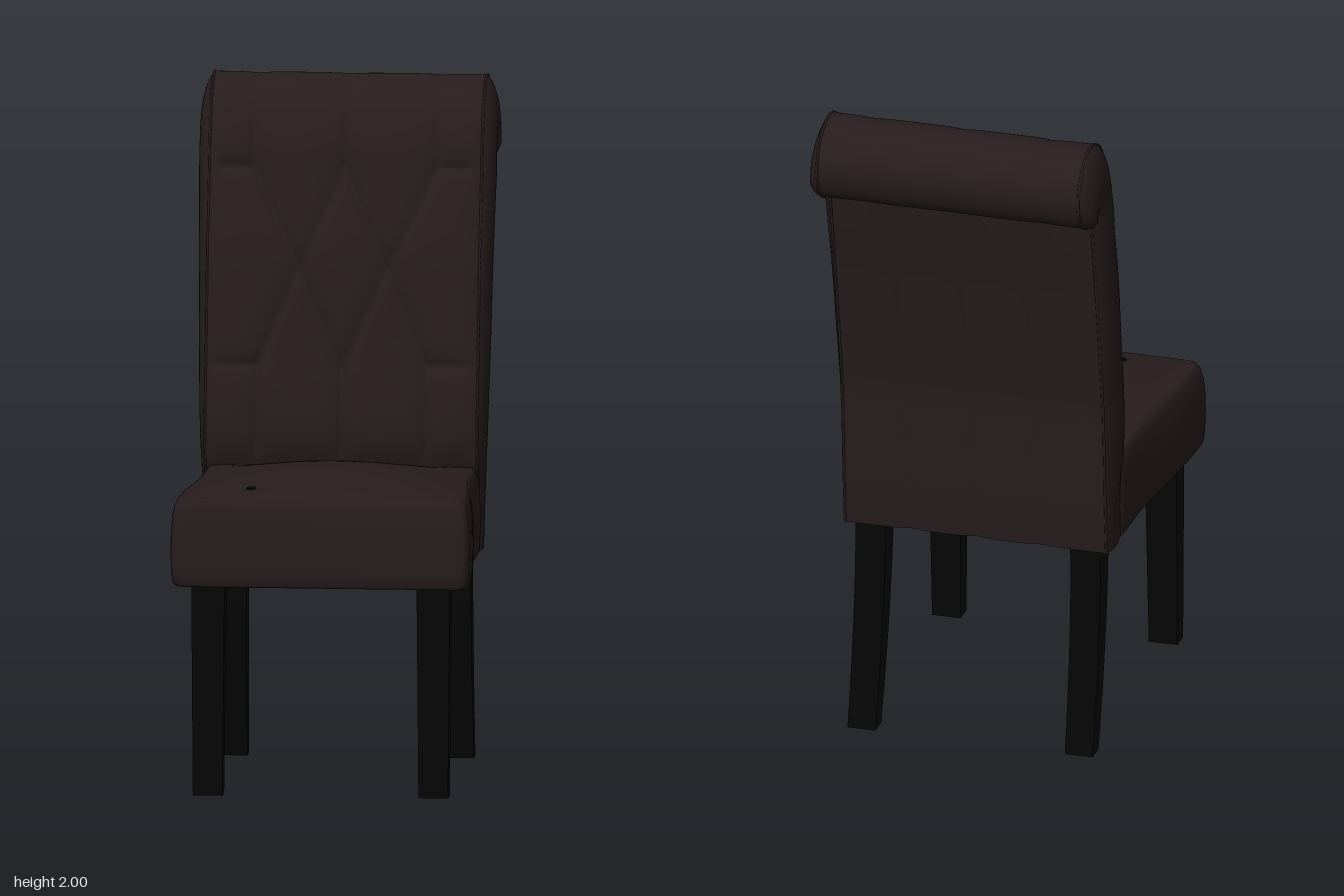
import * as THREE from 'three';

const leather = new THREE.MeshStandardMaterial({ color: 0x271c1d });
leather.name = 'dark brown leather';
const wood = new THREE.MeshStandardMaterial({ color: 0x050505 });
wood.name = 'black wood';
const lining = new THREE.MeshStandardMaterial({ color: 0x483c28 });
lining.name = 'olive lining';

const { lerp, clamp, smoothstep } = THREE.MathUtils;

// Smooth sheet from a rule f(u, v) -> [x, y, z]; it faces du x dv
function sheet(nu, nv, f) {
  const pos = [], idx = [];
  for (let j = 0; j <= nv; j++)
    for (let i = 0; i <= nu; i++) pos.push(...f(i / nu, j / nv));
  for (let j = 0; j < nv; j++)
    for (let i = 0; i < nu; i++) {
      const a = j * (nu + 1) + i, b = a + nu + 1;
      idx.push(a, a + 1, b, a + 1, b + 1, b);
    }
  const g = new THREE.BufferGeometry();
  g.setAttribute('position', new THREE.Float32BufferAttribute(pos, 3));
  g.setIndex(idx);
  g.computeVertexNormals();
  return g;
}

// Side profile of the backrest as [z, y]: front over the scroll, and rear
const curve = pts => new THREE.CatmullRomCurve3(pts.map(([z, y]) => new THREE.Vector3(0, y, z)));
const frontCurve = curve([
  [-0.18, 0.63], [-0.17, 0.84], [-0.14, 0.89], [-0.12, 0.96], [-0.13, 1.1], [-0.16, 1.25],
  [-0.2, 1.5], [-0.25, 1.68], [-0.29, 1.83], [-0.36, 1.95], [-0.46, 2.0], [-0.55, 1.965],
  [-0.592, 1.88], [-0.565, 1.79], [-0.51, 1.757], [-0.455, 1.745]]);
const rearCurve = curve([
  [-0.305, 0.63], [-0.32, 0.8], [-0.325, 0.9], [-0.33, 0.97], [-0.34, 1.1], [-0.365, 1.25],
  [-0.405, 1.47], [-0.435, 1.62], [-0.46, 1.75]]);
const SCROLL = 8 / 15; // where the rear face meets the scroll
const HALF = 0.4;

// Tufting: buttons and the seams between them
const buttons = [[-0.27, 1.75], [0, 1.75], [0.27, 1.75], [-0.13, 1.46], [0.13, 1.46],
  [-0.25, 1.18], [0, 1.17], [0.25, 1.18]];
const seams = [[0, 3], [1, 3], [1, 4], [2, 4], [3, 5], [3, 6], [4, 6], [4, 7]]
  .map(([a, b]) => [...buttons[a], ...buttons[b]]);
for (const i of [0, 1, 2]) seams.push([...buttons[i], buttons[i][0], 2.1]);
for (const i of [5, 6, 7]) seams.push([...buttons[i], buttons[i][0], 0.6]);
for (const i of [0, 2, 5, 7]) seams.push([...buttons[i], Math.sign(buttons[i][0]) * HALF, buttons[i][1]]);

function segmentDistance(x, y, [ax, ay, bx, by]) {
  const dx = bx - ax, dy = by - ay;
  const k = clamp(((x - ax) * dx + (y - ay) * dy) / (dx * dx + dy * dy), 0, 1);
  return Math.hypot(x - ax - k * dx, y - ay - k * dy);
}

// How far the front cover is pulled in at (x, y)
function inset(x, y, t) {
  const flat = smoothstep(t, 0.5, 0.62);
  let tuft = 0, roll = 0;
  if (flat < 1) {
    const d = Math.min(...seams.map(s => segmentDistance(x, y, s)));
    const b = Math.min(...buttons.map(([bx, by]) => Math.hypot(x - bx, y - by)));
    tuft = 0.015 * Math.exp(-d / 0.035) + 0.006 * Math.exp(-((d / 0.01) ** 2)) + 0.012 * Math.exp(-b / 0.03);
  }
  if (flat > 0) roll = 0.004 * Math.exp(-Math.min(Math.abs(x), Math.abs(Math.abs(x) - 0.27)) / 0.03);
  roll *= 1 - smoothstep(t, 0.85, 1);
  const edge = 0.02 * Math.exp(-(HALF - Math.abs(x)) / 0.03);
  const fadeIn = smoothstep(HALF - Math.abs(x), 0, 0.05);
  return (1 - flat) * (tuft * fadeIn + edge) * smoothstep(t, 0.1, 0.2) + flat * roll * fadeIn;
}

function frontPoint(x, t) {
  const p = frontCurve.getPoint(t), n = frontCurve.getTangent(t), k = inset(x, p.y, t);
  return [x, p.y + n.z * k, p.z - n.y * k];
}

function rearPoint(x, t) {
  const s = Math.min(1, t / SCROLL), p = rearCurve.getPoint(s);
  const d = Math.min(Math.abs(x), Math.abs(Math.abs(x) - 0.2));
  const groove = 0.01 * Math.exp(-d / 0.03) * smoothstep(HALF - Math.abs(x), 0, 0.05);
  return [x, p.y, p.z + groove * (1 - smoothstep(s, 0.8, 1))];
}

// Bulging side panel, running from the front edge to the rear edge
function sidePoint(side, u, t) {
  const a = frontPoint(HALF, t), b = rearPoint(HALF, t);
  const len = Math.hypot(a[1] - b[1], a[2] - b[2]);
  const puff = lerp(0.012, 0.037, clamp(t / 0.5, 0, 1)) * Math.min(1, len / 0.15);
  return [side * (HALF + puff * Math.sin(Math.PI * u) ** 0.7), lerp(a[1], b[1], u), lerp(a[2], b[2], u)];
}

// Seat outline: a rectangle with rounded corners, narrower towards the back.
// Rings scaled below 1 rise into the domed top.
function seatPoint(u, shrink, y, scale = 1) {
  const hx = 0.44 - shrink, hz = 0.39 - shrink, r = 0.035;
  const k = Math.min(3, Math.floor(u * 4)), e = Math.sin((u * 4 - k - 0.5) * Math.PI);
  let [x, z] = [[-e * hx, -hz], [-hx, e * hz], [e * hx, hz], [hx, -e * hz]][k];
  const qx = clamp(x, r - hx, hx - r), qz = clamp(z, r - hz, hz - r);
  const d = Math.hypot(x - qx, z - qz);
  x = (qx + (x - qx) / d * r) * scale;
  z = (qz + (z - qz) / d * r) * scale;
  const dome = scale < 1 ? 0.055 * (1 - (x / hx) ** 2) * (1 - (z / hz) ** 2) : 0;
  return [x * (0.93 + 0.07 * smoothstep(z + 0.2, 0, 0.5)), y + dome, z + 0.2];
}

// Leg: a box bent through [y, z rear, z front, x inner, x outer] stations
function legGeometry(stations) {
  const n = stations.length - 1;
  const g = new THREE.BoxGeometry(1, 1, 1, 1, n, 1), p = g.attributes.position;
  for (let i = 0; i < p.count; i++) {
    const [y, z0, z1, x0, x1] = stations[Math.round((p.getY(i) + 0.5) * n)];
    p.setXYZ(i, p.getX(i) < 0 ? x0 : x1, y, p.getZ(i) < 0 ? z0 : z1);
  }
  g.computeVertexNormals();
  return g;
}

export function createModel() {
  const model = new THREE.Group();
  const add = (name, geometry, material, parent = model) => {
    const m = new THREE.Mesh(geometry, material);
    m.name = name;
    parent.add(m);
    return m;
  };

  // Backrest
  const back = new THREE.Group();
  back.name = 'backrest';
  model.add(back);
  add('tuftedFront', sheet(90, 220, (u, v) => frontPoint(lerp(-HALF, HALF, u), v)), leather, back);
  add('backPanel', sheet(60, 40, (u, v) => rearPoint(lerp(HALF, -HALF, u), v * SCROLL)), leather, back);
  add('leftSide', sheet(14, 110, (u, v) => sidePoint(1, u, v)), leather, back);
  add('rightSide', sheet(14, 110, (u, v) => sidePoint(-1, 1 - u, v)), leather, back);
  add('backUnderside', sheet(1, 1, (u, v) => [lerp(-HALF, HALF, u), 0.63, lerp(-0.305, -0.18, v)]), leather, back);

  // Piping along the backrest edges
  for (const side of [-1, 1])
    for (const [name, point, end] of [['frontPiping', frontPoint, 1], ['rearPiping', rearPoint, SCROLL]]) {
      const pts = Array.from({ length: 41 }, (_, i) => new THREE.Vector3(...point(side * HALF, i / 40 * end)));
      add(name, new THREE.TubeGeometry(new THREE.CatmullRomCurve3(pts), 80, 0.004, 6), leather, back);
    }

  // Seat cushion: rings of [shrink, y, scale] from the lower rim to the crown
  const rings = [[0.055, 0.645], [0.055, 0.622], [0.015, 0.62], [0.006, 0.628], [0.002, 0.66], [0, 0.72],
    [0.001, 0.78], [0.005, 0.83], [0.012, 0.86], [0.02, 0.876], [0.026, 0.88]];
  for (let i = 1; i <= 14; i++) rings.push([0.026, 0.88, Math.max(1 - i / 14, 0.001)]);
  add('seatCushion', sheet(112, rings.length - 1, (u, v) =>
    seatPoint(u, ...rings[Math.round(v * (rings.length - 1))])), leather);
  add('seatLining', sheet(1, 12, (u, v) => {
    const z = lerp(-0.14, 0.54, v), w = 0.39 * (0.93 + 0.07 * smoothstep(z, 0, 0.5));
    return [lerp(-w, w, u), 0.628, z];
  }), lining);

  // Small dark mark on the seat top
  const mark = add('seatMark', new THREE.CylinderGeometry(0.014, 0.014, 0.008, 16), wood);
  mark.position.set(-0.21, 0.898, 0.47);
  mark.rotation.set(0.1, 0, 0.06);

  // Legs: straight tapered in front, swept back at the rear
  const frontLeg = legGeometry([[0, 0.485, 0.545, 0.288, 0.375], [0.64, 0.46, 0.54, 0.282, 0.38]]);
  const rearLeg = legGeometry(Array.from({ length: 11 }, (_, i) => {
    const k = i / 10, sweep = 0.1 * (1 - k) ** 1.7;
    return [0.64 * k, -0.265 - 0.02 * k - sweep, -0.205 - sweep, 0.29 - 0.008 * k, 0.375];
  }));
  for (const side of [-1, 1])
    for (const [name, g] of [['frontLeg', frontLeg], ['rearLeg', rearLeg]]) {
      const leg = add((side > 0 ? 'left ' : 'right ') + name, g, wood);
      leg.scale.x = side;
    }
  return model;
}
